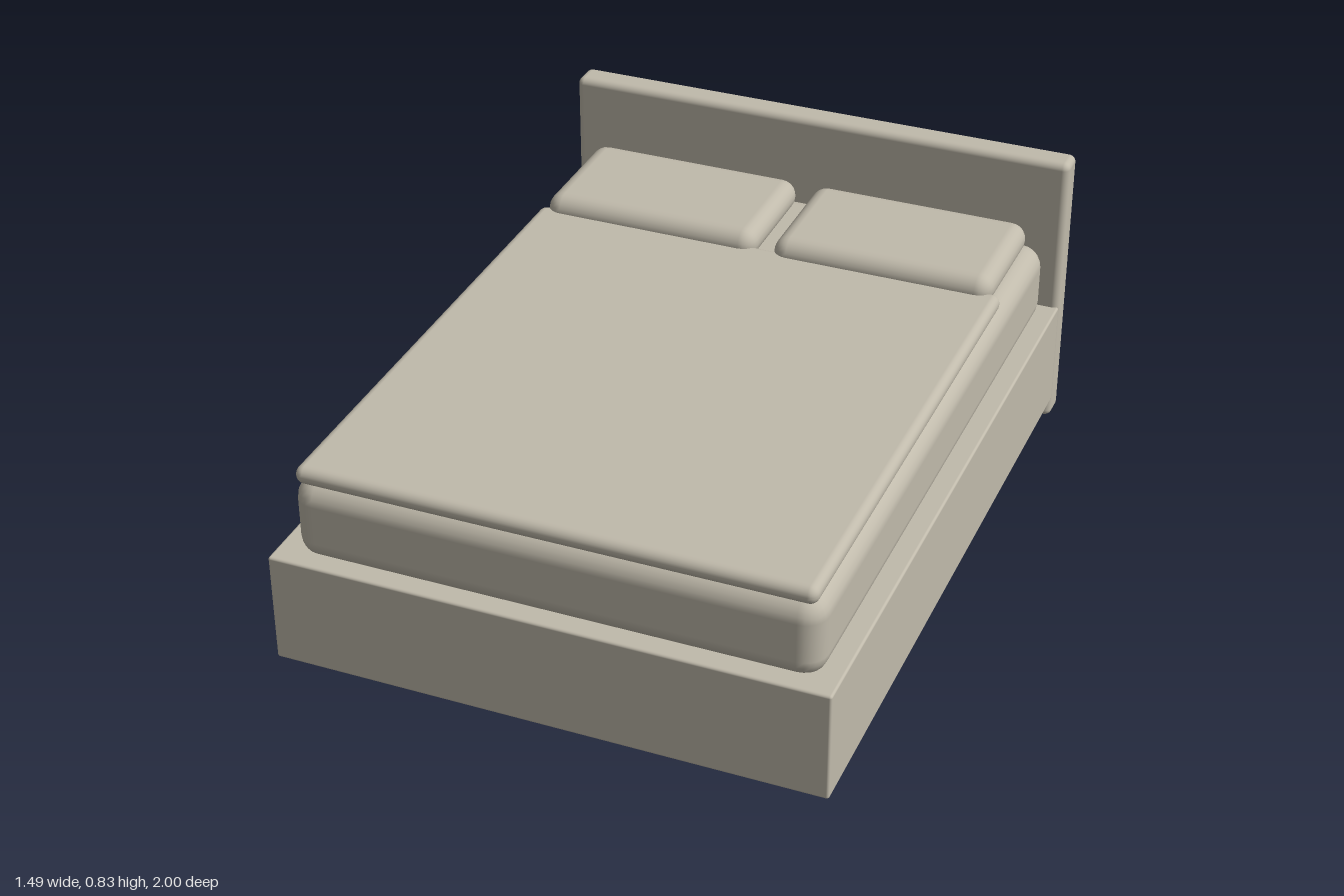
import * as THREE from 'three';
import { RoundedBoxGeometry } from 'three/addons/geometries/RoundedBoxGeometry.js';

const linen = new THREE.MeshStandardMaterial({ color: 0xc0baab });
linen.name = 'warm grey';

// Rounded block given by its extents along each axis
function block(name, [x0, x1], [y0, y1], [z0, z1], radius, segments = 3) {
  const geometry = new RoundedBoxGeometry(x1 - x0, y1 - y0, z1 - z0, segments, radius);
  const mesh = new THREE.Mesh(geometry, linen);
  mesh.name = name;
  mesh.position.set((x0 + x1) / 2, (y0 + y1) / 2, (z0 + z1) / 2);
  return mesh;
}

export function createModel() {
  const bed = new THREE.Group();
  bed.name = 'bed';

  // Structure
  bed.add(block('headboard', [-0.745, 0.745], [0, 0.826], [-1, -0.914], 0.02));
  bed.add(block('bedFrame', [-0.745, 0.745], [0.06, 0.37], [-0.925, 1], 0.007, 2));

  // Bedding
  bed.add(block('mattress', [-0.698, 0.698], [0.345, 0.578], [-0.917, 0.952], 0.062));
  bed.add(block('blanket', [-0.683, 0.683], [0.57, 0.62], [-0.52, 0.948], 0.024));

  // Pair of pillows
  for (const side of [-1, 1]) {
    const span = side > 0 ? [0.026, 0.658] : [-0.658, -0.026];
    const name = side > 0 ? 'leftPillow' : 'rightPillow';
    bed.add(block(name, span, [0.573, 0.664], [-0.865, -0.482], 0.045));
  }
  return bed;
}
